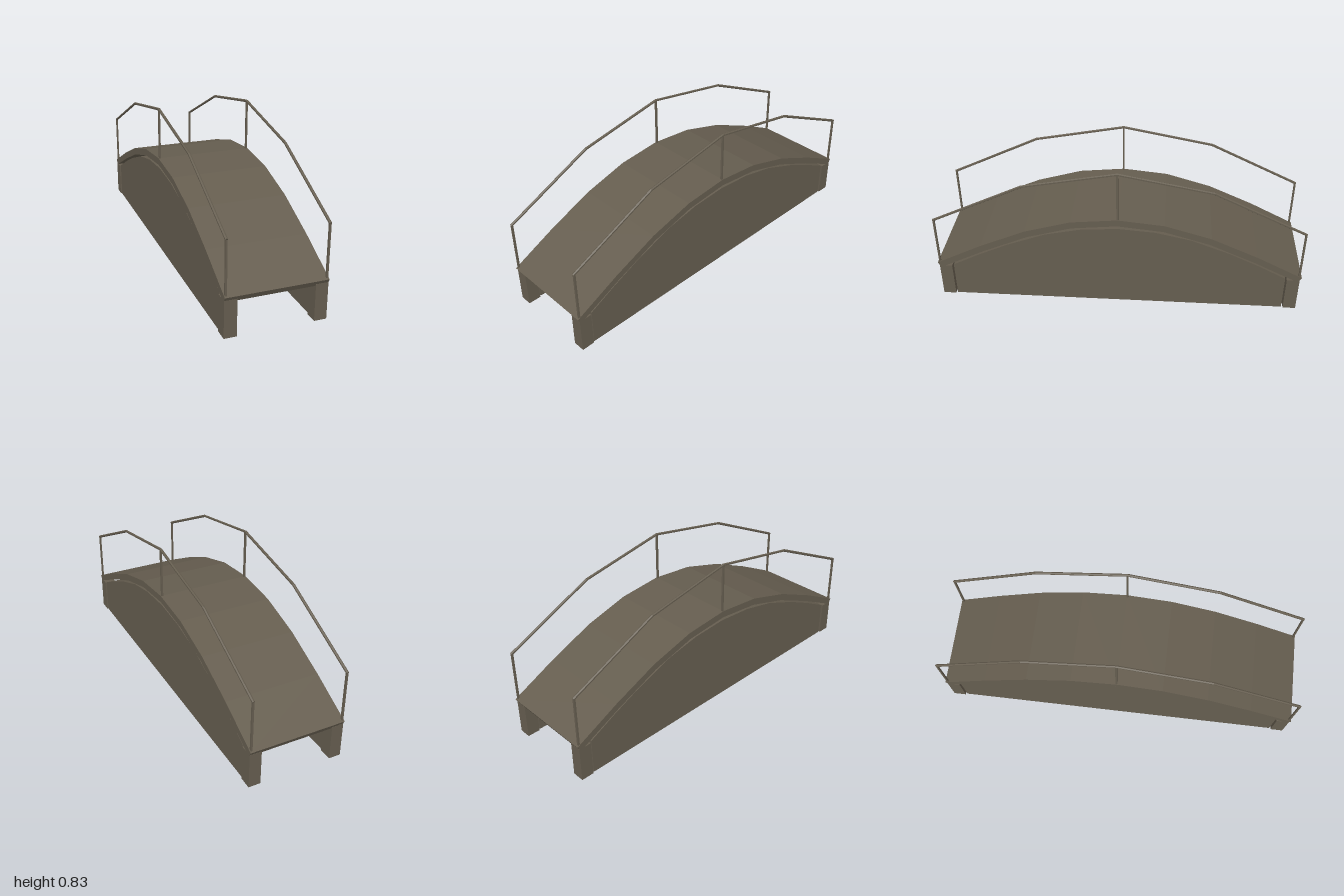
import * as THREE from 'three';

// Arched footbridge: segmented deck, side walls, end posts and thin handrails
export function createModel() {
  const bridge = new THREE.Group();
  bridge.name = 'footbridge';
  const wood = new THREE.MeshStandardMaterial({ color: 0x655d4f });
  wood.name = 'weathered wood';

  const add = (name, geometry, x = 0, y = 0, z = 0) => {
    const mesh = new THREE.Mesh(geometry, wood);
    mesh.name = name;
    mesh.position.set(x, y, z);
    bridge.add(mesh);
    return mesh;
  };

  // Full symmetric outline from the half that runs from the crown outwards
  const mirrored = (half) => [
    ...half.slice(1).reverse().map(([z, y]) => [-z, y]),
    ...half,
  ];

  // Extrude a z-y outline across the width of the bridge
  const across = (outline, width) => {
    const shape = new THREE.Shape(outline.map(([z, y]) => new THREE.Vector2(z, y)));
    const g = new THREE.ExtrudeGeometry(shape, { depth: width, bevelEnabled: false });
    return g.translate(0, 0, -width / 2).rotateY(Math.PI / 2);
  };

  // Curved deck, eight flat segments
  const deckTop = mirrored([[0, 0.547], [0.25, 0.522], [0.5, 0.45], [0.75, 0.34], [1, 0.214]]);
  const deckBottom = mirrored([[0, 0.509], [0.245, 0.484], [0.488, 0.414], [0.735, 0.306], [0.983, 0.183]]);
  add('deck', across([...deckTop, ...deckBottom.reverse()], 0.524));

  // Arched side walls below the deck
  const wallTop = mirrored([[0, 0.488], [0.2, 0.473], [0.39, 0.432], [0.6, 0.353], [0.76, 0.279], [0.913, 0.2]]);
  const wall = [...wallTop, [0.913, 0], [-0.913, 0]];

  // Handrail runs
  const railPath = mirrored([[0, 0.822], [0.497, 0.729], [0.99, 0.496]])
    .map(([z, y]) => new THREE.Vector3(0, y, z));

  for (const side of [-1, 1]) {
    const railX = side * 0.2535;
    add('sideWall', across(wall, 0.052), side * 0.23);

    for (const end of [-1, 1]) {
      add('endPost', new THREE.BoxGeometry(0.065, 0.195, 0.069), side * 0.2295, 0.0975, end * 0.956);
      add('endBaluster', new THREE.BoxGeometry(0.01, 0.295, 0.01), railX, 0.3475, end * 0.987);
    }
    add('middleBaluster', new THREE.BoxGeometry(0.01, 0.285, 0.01), railX, 0.68, 0);

    for (let i = 0; i < railPath.length - 1; i++) {
      const a = railPath[i], b = railPath[i + 1];
      const dir = b.clone().sub(a);
      const geometry = new THREE.CylinderGeometry(0.0075, 0.0075, dir.length() + 0.003, 6).toNonIndexed();
      geometry.computeVertexNormals();
      const rail = add('handrail', geometry, railX, (a.y + b.y) / 2, (a.z + b.z) / 2);
      rail.quaternion.setFromUnitVectors(new THREE.Vector3(0, 1, 0), dir.normalize());
    }
  }
  return bridge;
}
